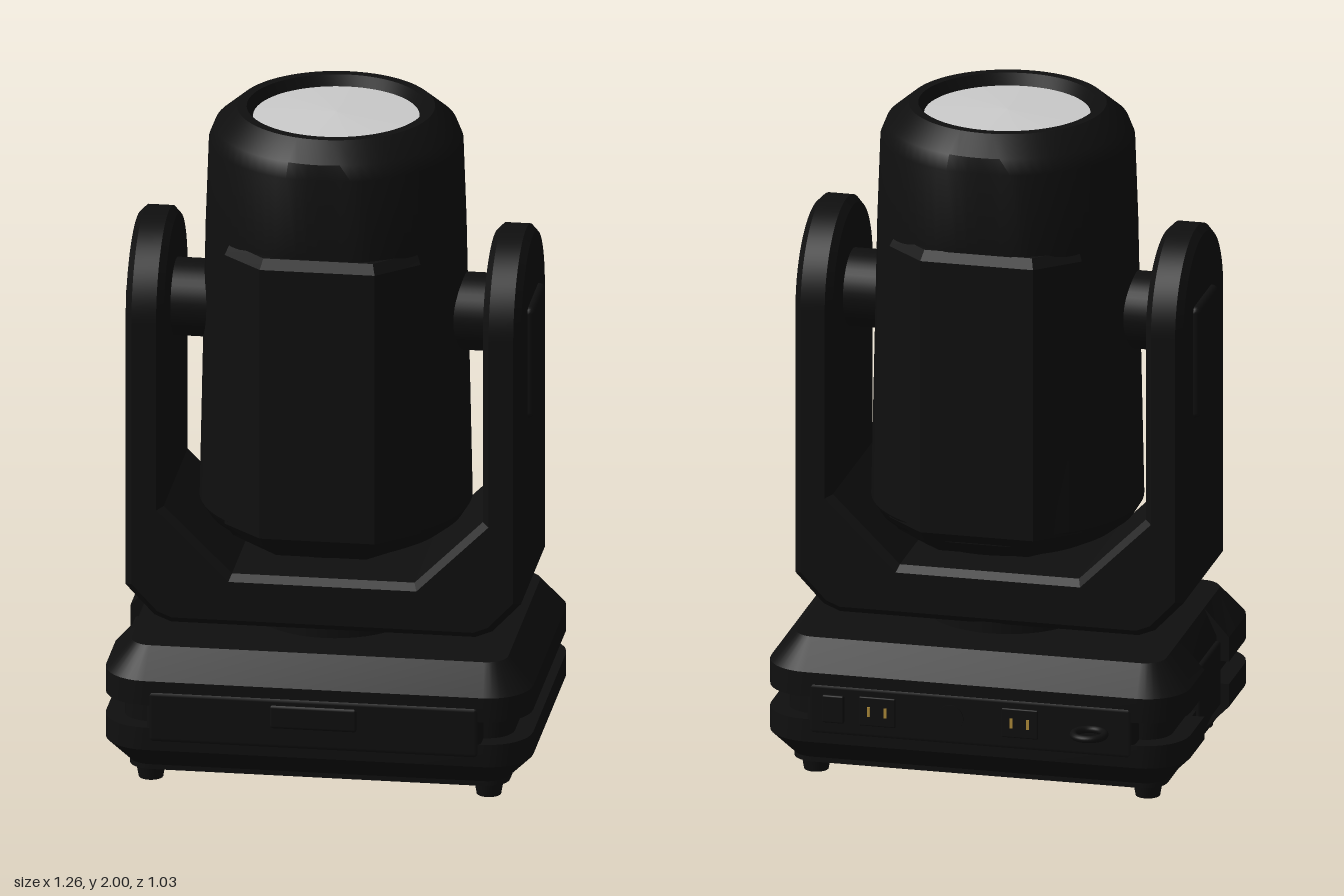
import * as THREE from 'three';
import { toCreasedNormals } from 'three/addons/utils/BufferGeometryUtils.js';
import { RoundedBoxGeometry } from 'three/addons/geometries/RoundedBoxGeometry.js';

const black = new THREE.MeshStandardMaterial({ color: 0x0f0f0f });
const glass = new THREE.MeshStandardMaterial({ color: 0xcccccc });
const brass = new THREE.MeshStandardMaterial({ color: 0xb08d3a });
const CZ = 0.05; // shared centre line of base and head

export function createModel() {
  const model = new THREE.Group();

  function add(name, geometry, x = 0, y = 0, z = 0, material = black) {
    const mesh = new THREE.Mesh(geometry, material);
    mesh.name = name;
    mesh.position.set(x, y, z);
    model.add(mesh);
    return mesh;
  }
  const rbox = (w, h, d, r = 0.01) => new RoundedBoxGeometry(w, h, d, 2, r);
  const crease = (g, angle = 0.5) => toCreasedNormals(g, angle);

  // Closed solid through rings of [x, y, z], each running from +x towards +z
  function loft(rings) {
    const pos = [];
    const n = rings[0].length;
    const tri = (...p) => p.forEach((v) => pos.push(...v));
    for (let r = 0; r < rings.length - 1; r++) {
      for (let i = 0; i < n; i++) {
        const j = (i + 1) % n;
        const [a, b, c, d] = [rings[r][i], rings[r][j], rings[r + 1][i], rings[r + 1][j]];
        tri(a, c, b);
        tri(b, c, d);
      }
    }
    const middle = (ring) => [0, 1, 2].map((k) => ring.reduce((s, p) => s + p[k], 0) / n);
    const low = rings[0], high = rings[rings.length - 1];
    for (let i = 0; i < n; i++) {
      const j = (i + 1) % n;
      tri(middle(low), low[i], low[j]);
      tri(middle(high), high[j], high[i]);
    }
    const g = new THREE.BufferGeometry();
    g.setAttribute('position', new THREE.Float32BufferAttribute(pos, 3));
    return crease(g);
  }

  // Base: rounded rectangle rings with a side groove and a bay in the right side
  function baseRing([y, inset]) {
    const w = 0.632 - inset, d = 0.46 - inset, r = 0.13 - inset * 0.9;
    const ring = [];
    [[1, 1], [-1, 1], [-1, -1], [1, -1]].forEach(([sx, sz], q) => {
      for (let i = 0; i <= 8; i++) {
        const a = (q + i / 8) * Math.PI / 2;
        ring.push([sx * (w - r) + r * Math.cos(a), y, CZ + sz * (d - r) + r * Math.sin(a)]);
      }
      if (q === 1) {
        const bay = Math.max(-w, -0.595);
        ring.push([-w, y, 0.19], [bay, y, 0.19], [bay, y, -0.11], [-w, y, -0.11]);
      }
    });
    return ring;
  }
  add('base', loft([[0.045, 0.07], [0.06, 0.07], [0.13, 0], [0.2, 0], [0.2, 0.055],
    [0.27, 0.055], [0.27, 0], [0.345, 0], [0.43, 0.075]].map(baseRing)));
  add('basePlate', rbox(0.96, 0.02, 0.62), 0, 0.042, CZ);
  add('frontPanel', rbox(0.99, 0.17, 0.1, 0.02), 0, 0.235, 0.463);
  add('frontDisplay', rbox(0.26, 0.075, 0.02), 0, 0.255, 0.507);
  add('backPanel', rbox(0.99, 0.17, 0.1, 0.02), 0, 0.235, -0.362);
  add('sideConnectorPlate', rbox(0.06, 0.2, 0.25), -0.58, 0.235, 0.063);
  for (const x of [-0.5, 0.5]) {
    for (const z of [-0.265, 0.375]) {
      add('foot', new THREE.CylinderGeometry(0.046, 0.036, 0.055, 24), x, 0.0275, z);
    }
  }

  // Connectors on the back
  const socket = new THREE.CylinderGeometry(0.04, 0.04, 0.012, 24).rotateX(Math.PI / 2);
  add('powerSwitch', rbox(0.065, 0.085, 0.02, 0.005), 0.412, 0.24, -0.412);
  add('roundSocket', socket, 0.06, 0.24, -0.41);
  for (const x of [0.28, -0.15]) {
    add('connector', rbox(0.11, 0.09, 0.01, 0.004), x, 0.24, -0.411);
    for (const dx of [-0.025, 0.025]) {
      add('contactPin', new THREE.BoxGeometry(0.008, 0.03, 0.008), x + dx, 0.24, -0.415, brass);
    }
  }
  add('safetyRing', new THREE.TorusGeometry(0.046, 0.011, 12, 40).rotateX(Math.PI / 2), -0.37, 0.24, -0.457);

  // Turntable between base and yoke
  add('turntable', new THREE.CylinderGeometry(0.242, 0.242, 0.06, 48), 0, 0.445, 0.06);

  // Yoke: U-shaped lower part, then one round-topped arm per side
  const yokeZ = 0.066, bevel = 0.02;
  const bevelOptions = { bevelThickness: bevel, bevelSize: bevel, bevelOffset: -bevel, bevelSegments: 1, curveSegments: 24 };
  const half = [[0.27, 0.62], [0.472, 0.82], [0.472, 0.86], [0.585, 0.86], [0.585, 0.57], [0.5, 0.48], [0.45, 0.46]];
  const outline = [...half, ...half.map(([x, y]) => [-x, y]).reverse()];
  const lower = new THREE.Shape(outline.map(([x, y]) => new THREE.Vector2(x, y)));
  const lowerGeo = new THREE.ExtrudeGeometry(lower, { depth: 0.525 - 2 * bevel, ...bevelOptions });
  add('yokeBase', crease(lowerGeo.translate(0, 0, yokeZ - 0.2625 + bevel)));

  const arm = new THREE.Shape();
  arm.moveTo(-0.2625, 0.66);
  arm.lineTo(0.2625, 0.66);
  arm.lineTo(0.2625, 1.39);
  arm.absarc(0, 1.39, 0.2625, 0, Math.PI, false);
  arm.lineTo(-0.2625, 0.66);
  const armGeo = crease(new THREE.ExtrudeGeometry(arm, { depth: 0.113 - 2 * bevel, ...bevelOptions })
    .translate(0, 0, bevel - 0.0565).rotateY(Math.PI / 2));
  const pivotGeo = new THREE.CylinderGeometry(0.115, 0.115, 0.16, 40).rotateZ(Math.PI / 2);
  for (const [side, s] of [['left', 1], ['right', -1]]) {
    add(side + 'YokeArm', armGeo, s * 0.5285, 0, yokeZ);
    add(side + 'ArmCover', rbox(0.06, 0.345, 0.235, 0.018), s * 0.576, 1.272, 0.06);
    add(side + 'Pivot', pivotGeo, s * 0.41, 1.385, 0.06);
  }

  // Head: turned housing, flattened at front and back
  const profile = [[0, 0.69], [0.28, 0.69], [0.33, 0.715], [0.375, 0.75], [0.4, 0.79], [0.382, 1.65],
    [0.373, 1.9], [0.355, 1.945], [0.29, 2], [0.262, 2], [0.246, 1.965], [0, 1.965]];
  const headGeo = new THREE.LatheGeometry(profile.map(([x, y]) => new THREE.Vector2(x, y)), 72);
  const p = headGeo.attributes.position;
  for (let i = 0; i < p.count; i++) p.setZ(i, THREE.MathUtils.clamp(p.getZ(i), -0.363, 0.363));
  add('headHousing', crease(headGeo.toNonIndexed()), 0, 0, CZ - 0.003);

  // Raised cover plates on front and back of the head
  const coverGeo = loft([[0.7, 0.3], [0.735, 0.355], [0.78, 0.383], [1.62, 0.383], [1.65, 0.365]].map(([y, z]) => {
    const k = z / 0.383;
    return [[0.29 * k, y, 0.15], [0.29 * k, y, z - 0.11], [0.17 * k, y, z],
      [-0.17 * k, y, z], [-0.29 * k, y, z - 0.11], [-0.29 * k, y, 0.15]];
  }));
  add('frontHeadCover', coverGeo, 0, 0, CZ);
  add('backHeadCover', coverGeo, 0, 0, CZ).rotation.y = Math.PI;

  // Shallow domed lens
  add('lens', new THREE.ConeGeometry(0.244, 0.012, 64), 0, 1.974, CZ - 0.008, glass);
  return model;
}
